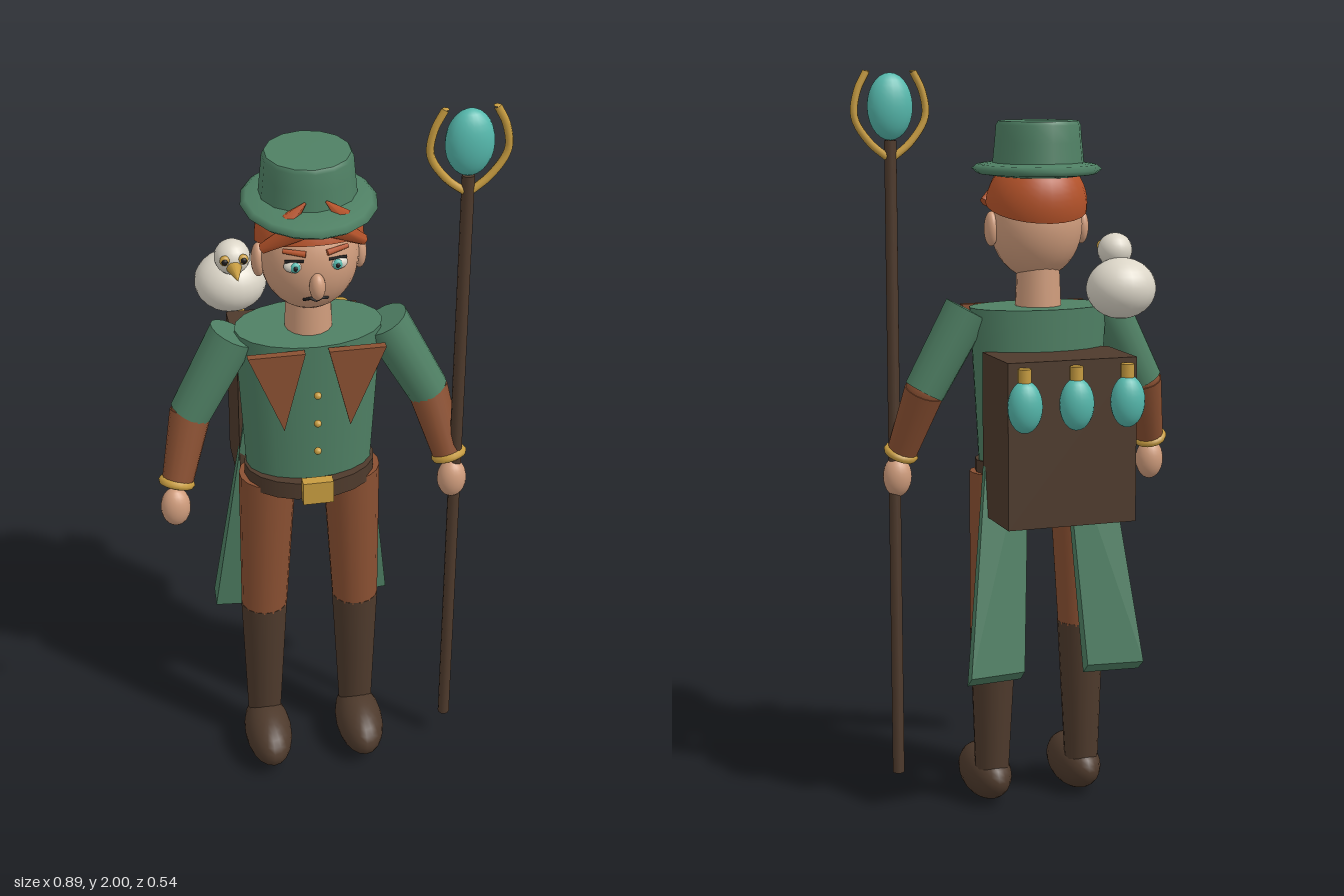
import * as THREE from 'three';
import { ConvexGeometry } from 'three/addons/geometries/ConvexGeometry.js';

const mat = (name, color, extra = {}) => {
  const m = new THREE.MeshStandardMaterial({ color, ...extra });
  m.name = name;
  return m;
};
const V = (x, y, z) => new THREE.Vector3(x, y, z);

export function createModel() {
  const green = mat('coat green', 0x4f8064);
  const brown = mat('leather brown', 0x8a5032);
  const dark = mat('dark brown', 0x4e3a2c);
  const rust = mat('rust hair', 0xb5532a, { side: THREE.DoubleSide });
  const skin = mat('skin', 0xcf9c7c);
  const gold = mat('gold', 0xc79c40);
  const teal = mat('turquoise', 0x55b8ac);
  const white = mat('off white', 0xdcd6c8);
  const black = mat('black', 0x1c1a1a);

  const model = new THREE.Group();
  model.name = 'wanderer';
  // The figure stands beside the staff, so its own centre line is offset
  const figure = new THREE.Group();
  figure.name = 'figure';
  figure.position.x = -0.04;
  model.add(figure);

  const add = (name, geo, material, pos = [0, 0, 0], parent = figure) => {
    const mesh = new THREE.Mesh(geo, material);
    mesh.name = name;
    mesh.position.set(...pos);
    parent.add(mesh);
    return mesh;
  };
  const ball = (name, material, pos, r, parent = figure, seg = 20) => {
    const m = add(name, new THREE.SphereGeometry(1, seg, Math.ceil(seg * 0.7)), material, pos, parent);
    m.scale.set(...r);
    return m;
  };
  // Tapered rod between two points
  const limb = (name, material, a, b, ra, rb, seg = 16, parent = figure) => {
    const d = b.clone().sub(a);
    const m = add(name, new THREE.CylinderGeometry(rb, ra, d.length(), seg), material,
      a.clone().add(b).multiplyScalar(0.5).toArray(), parent);
    m.quaternion.setFromUnitVectors(V(0, 1, 0), d.normalize());
    return m;
  };
  // Round part with an elliptical plan
  const oval = (name, material, profile, pos, depth, seg = 20) => {
    const m = add(name, new THREE.LatheGeometry(profile.map(p => new THREE.Vector2(...p)), seg), material, pos);
    m.scale.z = depth;
    return m;
  };

  // Torso and belt
  const torso = add('torso', new THREE.CylinderGeometry(0.19, 0.163, 0.475, 20), green, [0, 1.1475, 0.06]);
  torso.scale.z = 0.62;
  const belt = add('belt', new THREE.CylinderGeometry(0.173, 0.173, 0.05, 20), dark, [0, 0.95, 0.065]);
  belt.scale.z = 0.72;
  add('beltBuckle', new THREE.BoxGeometry(0.08, 0.066, 0.028), gold, [0, 0.958, 0.197]);
  [1.255, 1.17, 1.085].forEach(y => ball('button', gold, [0, y, 0.2], [0.01, 0.01, 0.01], figure, 10));

  // Neck and head
  add('neck', new THREE.CylinderGeometry(0.056, 0.062, 0.14, 16), skin, [0, 1.44, 0.06]);
  ball('head', skin, [0, 1.6, 0.075], [0.124, 0.146, 0.116], figure, 28);
  ball('nose', skin, [0, 1.57, 0.195], [0.02, 0.036, 0.024]);
  const mouth = add('mouth', new THREE.TubeGeometry(new THREE.CatmullRomCurve3([
    V(-0.03, 1.522, 0.165), V(-0.012, 1.528, 0.174), V(0, 1.523, 0.176), V(0.012, 1.528, 0.174), V(0.03, 1.522, 0.165),
  ]), 12, 0.005, 6), black);
  mouth.position.z = 0.003;

  // Hair cap, lower at the back
  const hair = add('hair', new THREE.SphereGeometry(1, 24, 12, 0, Math.PI * 2, 0, Math.PI * 0.51), rust, [0, 1.65, 0.073]);
  hair.scale.set(0.136, 0.14, 0.126);
  hair.rotation.x = -0.3;

  // Hat
  oval('hatBrim', green, [[0, -0.012], [0.1, -0.02], [0.155, -0.012], [0.169, 0], [0.155, 0.012], [0.1, 0.02], [0, 0.024]],
    [0, 1.745, 0.072], 1.168, 16);
  oval('hatCrown', green, [[0.122, 0], [0.116, 0.06], [0.112, 0.105], [0.106, 0.115], [0.106, 0.115], [0, 0.116]],
    [0, 1.755, 0.058], 1, 14);

  for (const s of [-1, 1]) {
    // Face details
    ball('ear', skin, [s * 0.127, 1.59, 0.072], [0.018, 0.046, 0.027]);
    ball('eye', white, [s * 0.052, 1.62, 0.17], [0.027, 0.018, 0.016]);
    ball('iris', teal, [s * 0.052, 1.62, 0.181], [0.013, 0.014, 0.008], figure, 12);
    ball('pupil', black, [s * 0.052, 1.62, 0.187], [0.006, 0.007, 0.004], figure, 10);
    limb('upperLid', black, V(s * 0.03, 1.637, 0.181), V(s * 0.076, 1.634, 0.171), 0.004, 0.004, 6);
    limb('eyebrow', rust, V(s * 0.026, 1.655, 0.182), V(s * 0.08, 1.66, 0.164), 0.008, 0.006, 8);
    // Fringe strand and the tuft above the brim
    limb('fringe', rust, V(s * 0.015, 1.735, 0.18), V(s * 0.125, 1.655, 0.135), 0.034, 0.014, 6);
    const tuft = limb('hairTuft', rust, V(s * 0.068, 1.75, 0.178), V(s * 0.025, 1.79, 0.172), 0.022, 0.003, 5);
    tuft.material = rust;

    // Pointed lapel
    const lapel = new THREE.Shape([[0.175, 1.38], [0.03, 1.38], [0.085, 1.155]].map(([x, y]) => new THREE.Vector2(s * x, y)));
    add('lapel', new THREE.ExtrudeGeometry(lapel, { depth: 0.02, bevelEnabled: false }), brown, [0, 0, 0.177]);

    // Arm
    const shoulder = V(s * 0.195, 1.38, 0.068), elbow = V(s * 0.311, 1.165, 0.083), wrist = V(s * 0.36, 0.985, 0.145);
    limb('upperArm', green, shoulder, elbow, 0.062, 0.055);
    ball('elbow', brown, elbow.toArray(), [0.051, 0.051, 0.051]);
    limb('forearm', brown, elbow, wrist, 0.054, 0.04);
    const bangle = add('bracelet', new THREE.TorusGeometry(0.036, 0.012, 8, 20), gold, [s * 0.36, 0.992, 0.143]);
    bangle.quaternion.setFromUnitVectors(V(0, 0, 1), wrist.clone().sub(elbow).normalize());
    ball('hand', skin, [s * 0.367, 0.925, 0.157], [0.039, 0.056, 0.036]);

    // Leg, boot and foot
    limb('trouserLeg', brown, V(s * 0.112, 0.94, 0.068), V(s * 0.127, 0.5, 0.067), 0.076, 0.063);
    limb('boot', dark, V(s * 0.127, 0.505, 0.067), V(s * 0.132, 0.09, 0.068), 0.064, 0.046);
    ball('foot', dark, [s * 0.132, 0.076, 0.13], [0.066, 0.074, 0.13]);

    // Flared coat tail
    add('coatTail', new ConvexGeometry([
      V(s * 0.165, 1.06, 0.012), V(s * 0.05, 1.06, 0.012), V(s * 0.165, 1.06, -0.008), V(s * 0.05, 1.06, -0.008),
      V(s * 0.245, 0.39, -0.07), V(s * 0.09, 0.39, -0.055), V(s * 0.245, 0.42, -0.108), V(s * 0.09, 0.42, -0.09),
    ]), green);
  }

  // Pack with hanging flasks
  add('backpack', new THREE.BoxGeometry(0.352, 0.435, 0.208), dark, [0, 1.057, -0.104]);
  for (const x of [-0.14, 0, 0.14]) {
    ball('flask', teal, [x, 1.165, -0.235], [0.046, 0.068, 0.036]);
    add('flaskStopper', new THREE.CylinderGeometry(0.018, 0.018, 0.045, 12), gold, [x, 1.24, -0.232]);
  }

  // Bird on the shoulder
  const bird = new THREE.Group();
  bird.name = 'bird';
  bird.position.set(-0.216, 1.44, -0.094);
  model.add(bird);
  ball('birdBody', white, [0, 0, 0], [0.093, 0.08, 0.086], bird, 24);
  ball('birdHead', white, [0, 0.095, 0.046], [0.046, 0.046, 0.046], bird);
  const beak = add('birdBeak', new THREE.ConeGeometry(0.021, 0.075, 12), gold, [0, 0.085, 0.118], bird);
  beak.rotation.x = Math.PI / 2;
  for (const s of [-1, 1]) {
    ball('birdEye', gold, [s * 0.023, 0.105, 0.083], [0.014, 0.014, 0.01], bird, 12);
    ball('birdPupil', black, [s * 0.024, 0.105, 0.091], [0.008, 0.008, 0.005], bird, 10);
  }

  // Staff with a pronged crystal
  const staff = new THREE.Group();
  staff.name = 'staff';
  staff.position.set(0.335, 0, 0.155);
  model.add(staff);
  add('staffPole', new THREE.CylinderGeometry(0.016, 0.016, 1.73, 10), dark, [0, 0.955, 0], staff);
  ball('crystal', teal, [0, 1.907, 0], [0.061, 0.087, 0.042], staff);
  for (const s of [-1, 1]) {
    const path = new THREE.CatmullRomCurve3([
      V(0, 1.77, 0), V(s * 0.055, 1.815, 0), V(s * 0.095, 1.88, 0), V(s * 0.088, 1.945, 0), V(s * 0.063, 1.997, 0),
    ]);
    add('prong', new THREE.TubeGeometry(path, 20, 0.01, 8), gold, [0, 0, 0], staff);
    const tip = path.getPoint(1);
    ball('prongTip', gold, tip.toArray(), [0.0098, 0.003, 0.0098], staff, 8);
  }

  return model;
}
